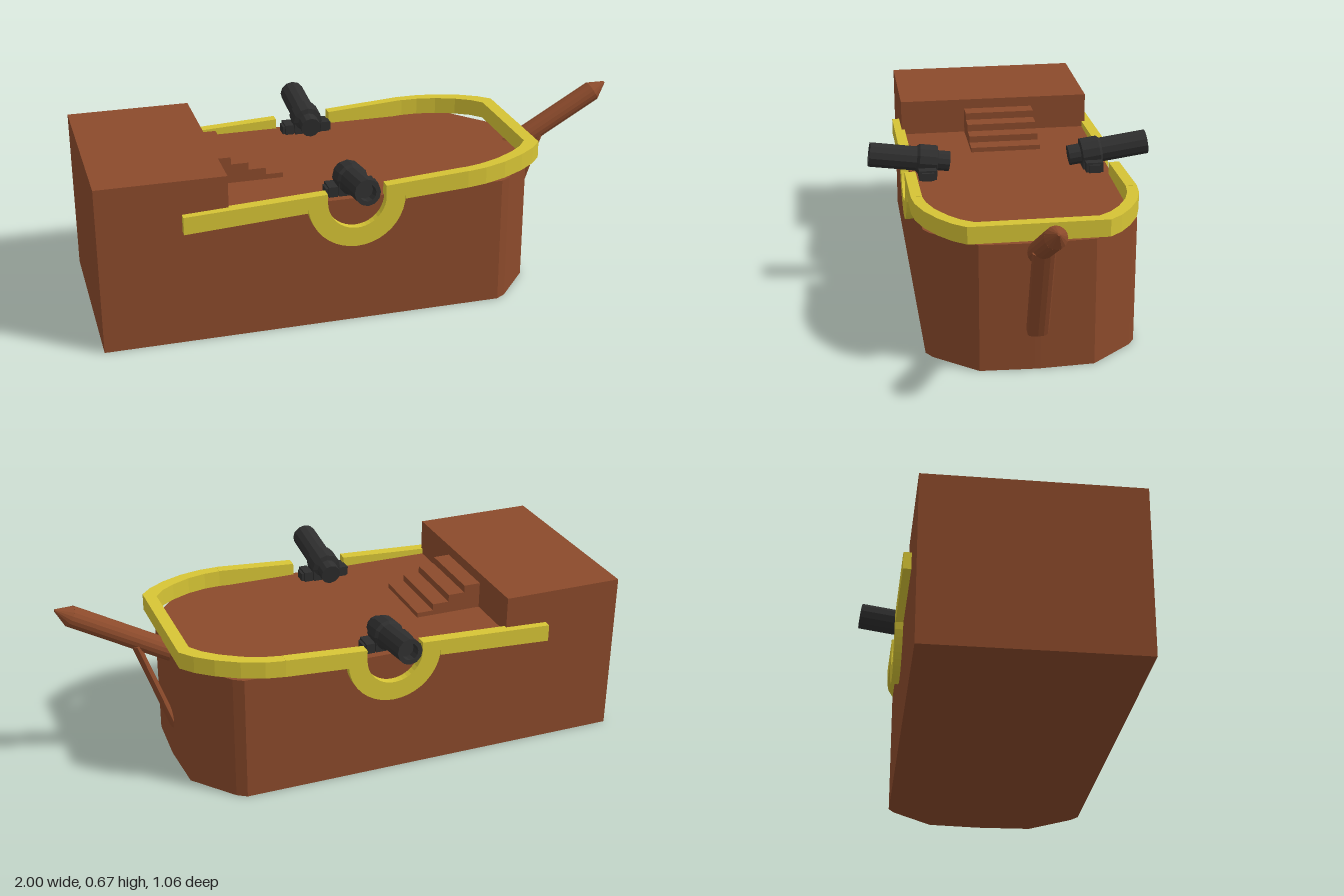
import * as THREE from 'three';

const paint = (color) => new THREE.MeshStandardMaterial({ color, flatShading: true });

export function createModel() {
  const group = new THREE.Group();
  group.name = 'ship';
  const wood = paint(0x8b4a2b), gold = paint(0xd6c435), iron = paint(0x2e2e2e);

  const add = (name, geometry, material, parent = group) => {
    const mesh = new THREE.Mesh(geometry, material);
    mesh.name = name;
    parent.add(mesh);
    return mesh;
  };
  const box = (name, x0, x1, y0, y1, z0, z1, material, parent) =>
    add(name, new THREE.BoxGeometry(x1 - x0, y1 - y0, z1 - z0), material, parent)
      .position.set((x0 + x1) / 2, (y0 + y1) / 2, (z0 + z1) / 2);
  // Extrude a plan outline (x, z) upwards from y = 0
  const slab = (points, height) => {
    const shape = new THREE.Shape(points.map(([x, z]) => new THREE.Vector2(x, -z)));
    return new THREE.ExtrudeGeometry(shape, { depth: height, bevelEnabled: false }).rotateX(-Math.PI / 2);
  };
  const mirrored = (half) => [...half, ...half.map(([x, z]) => [x, -z]).reverse()];
  // Cylinder between two points in the x-y plane, optionally flattened
  const spar = (name, a, b, rTop, rBottom, sides, flat = 1) => {
    const dir = new THREE.Vector3(b[0] - a[0], b[1] - a[1], 0);
    const geometry = new THREE.CylinderGeometry(rTop, rBottom, dir.length(), sides).scale(flat, 1, 1);
    const mesh = add(name, geometry, wood);
    mesh.position.set((a[0] + b[0]) / 2, (a[1] + b[1]) / 2, 0);
    mesh.rotation.z = Math.atan2(dir.y, dir.x) - Math.PI / 2;
  };

  // Hull with a blunt faceted bow, and the raised stern cabin
  add('hull', slab(mirrored([[-1, 0.372], [0.44, 0.372], [0.475, 0.35], [0.6, 0.2], [0.61, 0.01]]), 0.47), wood);
  box('sternCabin', -1, -0.55, 0.47, 0.605, -0.372, 0.372, wood);

  // Stairs from the deck to the cabin roof
  const treads = [0.567, 0.54, 0.513, 0.488];
  treads.forEach((y, i) =>
    box('step', -0.55 + i * 0.0625, -0.4875 + i * 0.0625, 0.465, y, -0.15, 0.12, wood));

  // Side rails dipping in a half ring below each cannon
  const side = new THREE.Shape();
  const cx = -0.105, cy = 0.475;
  side.moveTo(-0.71, 0.42);
  side.lineTo(cx - 0.175, 0.445);
  side.absarc(cx, cy, 0.175, Math.PI, Math.PI * 2, false);
  side.lineTo(0.07, 0.458);
  side.lineTo(0.3, 0.472);
  side.lineTo(0.3, 0.535);
  side.lineTo(cx + 0.105, 0.515);
  side.absarc(cx, cy, 0.105, 0, Math.PI, true);
  side.lineTo(cx - 0.105, 0.507);
  side.lineTo(-0.71, 0.483);
  for (const z of [0.36, -0.4]) {
    add('sideRail', new THREE.ExtrudeGeometry(side, { depth: 0.04, bevelEnabled: false, curveSegments: 10 }), gold)
      .position.z = z;
  }

  // Bow rail, rising gently towards the front
  const outer = mirrored([[0.3, 0.4], [0.37, 0.392], [0.45, 0.368], [0.53, 0.328], [0.59, 0.285], [0.63, 0.24]]);
  const inner = mirrored([[0.3, 0.36], [0.36, 0.352], [0.43, 0.33], [0.5, 0.293], [0.55, 0.255], [0.585, 0.21]]);
  const bow = slab([...outer, ...inner.reverse()], 0.062);
  const p = bow.attributes.position;
  for (let i = 0; i < p.count; i++) p.setY(i, p.getY(i) + 0.458 + 0.047 * p.getX(i));
  bow.computeVertexNormals();
  add('bowRail', bow, gold);

  // Bowsprit with pointed tip and a flat brace below
  spar('bowsprit', [0.56, 0.41], [0.945, 0.632], 0.038, 0.038, 16);
  spar('bowspritTip', [0.945, 0.632], [0.995, 0.663], 0.004, 0.038, 16);
  spar('bowspritBrace', [0.6, 0.13], [0.725, 0.485], 0.04, 0.04, 12, 0.38);

  // Cannons: barrel along +z tilted up, on a small mount; the other one is turned around
  const profile = [[0, -0.09], [0.038, -0.09], [0.038, -0.045], [0.056, -0.04], [0.056, 0.025],
    [0.046, 0.035], [0.046, 0.21], [0.03, 0.21], [0.03, 0.17], [0, 0.17]]
    .map(([r, y]) => new THREE.Vector2(r, y));
  for (const s of [1, -1]) {
    const cannon = new THREE.Group();
    cannon.name = 'cannon';
    const barrel = add('barrel', new THREE.LatheGeometry(profile, 12).rotateX(Math.PI / 2), iron, cannon);
    barrel.position.set(0, 0.523, 0.315);
    barrel.rotation.x = -0.14;
    box('mount', -0.095, 0.095, 0.465, 0.5, 0.29, 0.335, iron, cannon);
    box('mountBlock', -0.05, 0.05, 0.465, 0.53, 0.275, 0.345, iron, cannon);
    for (const x of [-0.07, 0.07]) box('mountFoot', x - 0.016, x + 0.016, 0.465, 0.507, 0.28, 0.345, iron, cannon);
    cannon.position.x = cx;
    if (s < 0) cannon.rotation.y = Math.PI;
    group.add(cannon);
  }
  return group;
}
